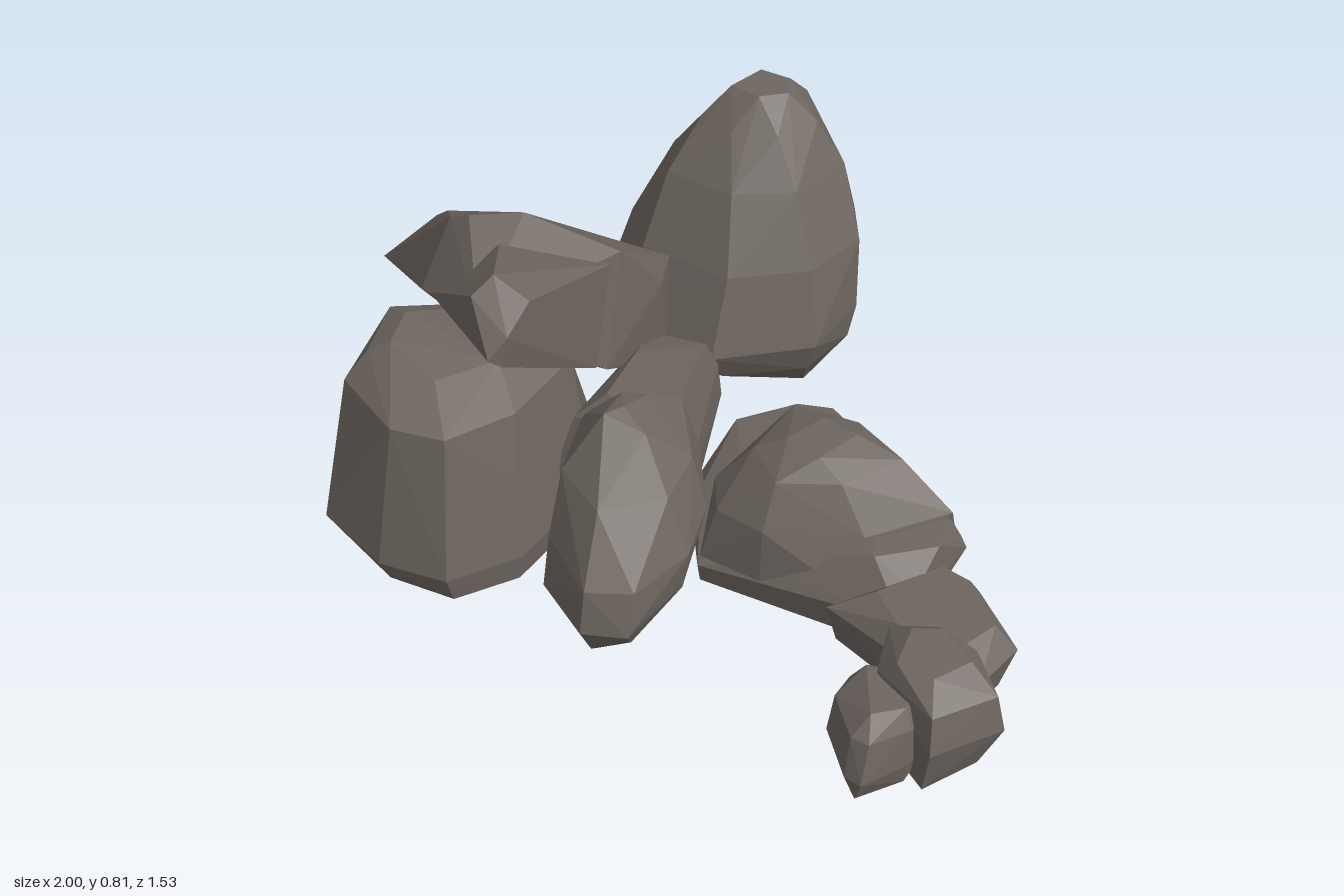
import * as THREE from 'three';
import { ConvexGeometry } from 'three/addons/geometries/ConvexGeometry.js';

const stone = new THREE.MeshStandardMaterial({ color: 0x6e6660 });
stone.name = 'warm grey stone';

// A faceted rock: the hull of corner points [x, y, z]
function rock(name, corners) {
  const mesh = new THREE.Mesh(new ConvexGeometry(corners.map(c => new THREE.Vector3(...c))), stone);
  mesh.name = name;
  return mesh;
}

// Turns height: outline pairs [y, [x, z], [x, z] ...] into corners
const layers = (...rows) => rows.flatMap(([y, ...outline]) => outline.map(([x, z]) => [x, y, z]));

export function createModel() {
  const group = new THREE.Group();
  group.name = 'rockPile';
  group.add(
    // Tall rounded boulder at the back
    rock('backBoulder', layers(
      [0.01, [-0.32, -0.6], [-0.1, -0.63], [0.03, -0.5], [0.03, -0.36], [-0.1, -0.31], [-0.3, -0.33]],
      [0.13, [-0.42, -0.69], [-0.34, -0.76], [-0.05, -0.7], [0.11, -0.43], [0.09, -0.26], [-0.06, -0.13], [-0.34, -0.14], [-0.45, -0.24]],
      [0.21, [-0.43, -0.69], [-0.34, -0.77], [-0.05, -0.7], [0.03, -0.62], [0.12, -0.45], [0.12, -0.25], [-0.06, -0.08], [-0.33, -0.09], [-0.46, -0.23]],
      [0.4, [-0.39, -0.65], [-0.32, -0.7], [-0.05, -0.67], [0.04, -0.57], [0.12, -0.45], [0.09, -0.28], [-0.06, -0.15], [-0.3, -0.16], [-0.41, -0.28]],
      [0.57, [-0.3, -0.62], [-0.1, -0.64], [0.05, -0.49], [0.02, -0.32], [-0.1, -0.23], [-0.28, -0.24], [-0.34, -0.36]],
      [0.68, [-0.22, -0.56], [-0.1, -0.57], [-0.01, -0.46], [-0.05, -0.35], [-0.15, -0.31], [-0.25, -0.34]],
      [0.75, [-0.18, -0.49], [-0.1, -0.49], [-0.07, -0.43], [-0.12, -0.38], [-0.2, -0.39]])),

    // Long slab leaning over the front block, with its ridge set back from the front edge
    rock('leaningSlab', [
      [-1, 0.13, -0.08], [-0.99, 0.2, -0.02], [-0.92, 0.05, -0.2], [-0.9, 0.18, -0.29], [-0.84, 0.03, -0.2],
      [-0.78, 0.2, -0.31], [-0.66, 0.24, -0.28], [-0.64, 0.05, -0.12], [-0.64, 0.14, 0.05],
      [-0.7, 0.49, 0.1], [-0.58, 0.6, 0.2], [-0.42, 0.74, 0.38], [-0.36, 0.77, 0.39], [-0.27, 0.77, 0.32],
      [-0.75, 0.38, 0.15], [-0.69, 0.43, 0.21], [-0.57, 0.52, 0.35], [-0.43, 0.61, 0.48], [-0.2, 0.68, 0.58],
      [-0.52, 0.32, -0.2], [-0.36, 0.37, -0.16], [-0.2, 0.43, -0.12],
      [-0.1, 0.5, 0.06], [-0.11, 0.66, 0.2], [-0.1, 0.4, 0.28], [-0.12, 0.25, 0.02], [-0.19, 0.22, -0.06],
      [-0.22, 0.44, 0.34]]),
    // Pointed upper end of the slab
    rock('slabTip', [
      [-0.15, 0.81, 0.58], [-0.08, 0.76, 0.56], [-0.07, 0.73, 0.65], [-0.09, 0.69, 0.69], [-0.17, 0.78, 0.63],
      [-0.22, 0.66, 0.59], [-0.4, 0.62, 0.49], [-0.26, 0.75, 0.42], [-0.11, 0.65, 0.24], [-0.1, 0.43, 0.32],
      [-0.2, 0.43, 0.33], [-0.12, 0.58, 0.55], [-0.08, 0.66, 0.66]]),

    // Upright block at the front
    rock('frontBlock', layers(
      [0.005, [-0.57, 0.66], [-0.38, 0.73], [-0.22, 0.71], [-0.14, 0.58], [-0.14, 0.3], [-0.3, 0.1], [-0.5, 0.16], [-0.6, 0.38]],
      [0.07, [-0.65, 0.38], [-0.58, 0.7], [-0.38, 0.76], [-0.22, 0.73], [-0.13, 0.58], [-0.13, 0.3], [-0.3, 0.08], [-0.52, 0.14]],
      [0.25, [-0.61, 0.4], [-0.56, 0.64], [-0.38, 0.72], [-0.24, 0.7], [-0.15, 0.55], [-0.16, 0.3], [-0.35, 0.12]],
      [0.41, [-0.6, 0.4], [-0.55, 0.62], [-0.36, 0.7], [-0.24, 0.67], [-0.17, 0.52], [-0.18, 0.3], [-0.35, 0.15]],
      [0.47, [-0.58, 0.42], [-0.52, 0.57], [-0.33, 0.58], [-0.26, 0.45]],
      [0.5, [-0.51, 0.45], [-0.47, 0.55]])),

    // Narrow rock in the middle, with its thin tail behind
    rock('middleRock', layers(
      [0.01, [-0.13, 0.4], [0, 0.6], [0.12, 0.68], [0.18, 0.62], [0.18, 0.42], [0.05, 0.2], [-0.1, 0.2]],
      [0.1, [-0.15, 0.36], [-0.02, 0.65], [0.13, 0.73], [0.22, 0.69], [0.23, 0.5], [0.18, 0.36], [0.06, 0.18]],
      [0.2, [-0.14, 0.36], [-0.03, 0.61], [0.13, 0.71], [0.22, 0.66], [0.25, 0.5], [0.2, 0.35], [0.07, 0.18]],
      [0.33, [-0.11, 0.36], [-0.04, 0.54], [0.1, 0.61], [0.2, 0.5], [0.17, 0.36], [0.04, 0.2]],
      [0.41, [-0.02, 0.34], [0.03, 0.32], [0.1, 0.43]],
      [0.44, [0.01, 0.45], [0.03, 0.41]])),
    rock('middleTail', layers(
      [0.01, [-0.15, 0.42], [0.12, 0.44], [0.04, 0.15], [-0.03, 0], [-0.15, 0.05]],
      [0.14, [-0.15, 0.42], [0.16, 0.42], [0.06, 0.18], [-0.02, -0.06], [-0.17, -0.01]],
      [0.25, [-0.14, 0.4], [0.1, 0.4], [0.05, 0.18], [-0.01, -0.03], [-0.18, 0.02]],
      [0.33, [-0.12, 0.38], [0.07, 0.38], [0.03, 0.17], [-0.02, 0.01], [-0.15, 0.04]],
      [0.39, [-0.06, 0.34], [0.04, 0.34], [0.01, 0.19], [-0.09, 0.18]])),

    // Low flat ledge on the left, with a steep hump on top
    rock('sideLedge', layers(
      [0.01, [0.04, -0.08], [0.18, -0.23], [0.42, -0.01], [0.65, 0.06], [0.67, 0.34], [0.4, 0.35], [0.2, 0.38], [0.06, 0.18]],
      [0.06, [0.02, -0.09], [0.1, -0.21], [0.18, -0.24], [0.42, -0.02], [0.66, 0.04], [0.05, 0.19], [0.2, 0.39]],
      [0.11, [0.04, -0.03], [0.2, -0.06], [0.42, 0], [0.66, 0.05], [0.69, 0.08], [0.68, 0.36], [0.4, 0.36], [0.1, 0.22]],
      [0.15, [0.2, 0.2], [0.68, 0.1], [0.68, 0.3]],
      [0.2, [0.5, 0.15], [0.65, 0.1], [0.68, 0.2], [0.58, 0.3]])),
    rock('sideHump', layers(
      [0.08, [0.15, 0.27], [0.17, 0], [0.42, -0.02], [0.66, 0.06], [0.55, 0.32], [0.35, 0.38], [0.2, 0.38]],
      [0.21, [0.17, 0.27], [0.21, 0.01], [0.42, 0.01], [0.66, 0.1], [0.54, 0.27], [0.35, 0.37], [0.23, 0.36]],
      [0.31, [0.25, 0.24], [0.25, 0.07], [0.4, 0.05], [0.54, 0.11], [0.47, 0.25], [0.35, 0.32]],
      [0.35, [0.32, 0.22], [0.35, 0.12], [0.44, 0.13], [0.41, 0.24]])),

    // Small rocks at the far end
    rock('linkRock', layers(
      [0.01, [0.54, 0.38], [0.69, 0.21], [0.78, 0.23], [0.89, 0.32], [0.87, 0.42], [0.74, 0.44]],
      [0.12, [0.53, 0.41], [0.69, 0.19], [0.78, 0.2], [0.92, 0.31], [0.9, 0.44], [0.74, 0.46]],
      [0.17, [0.62, 0.36], [0.7, 0.22], [0.77, 0.23], [0.87, 0.32], [0.84, 0.41], [0.7, 0.42]])),
    rock('endRock', layers(
      [0.02, [0.74, 0.48], [0.81, 0.45], [0.95, 0.54], [0.89, 0.66], [0.72, 0.56]],
      [0.14, [0.71, 0.48], [0.8, 0.42], [0.9, 0.44], [1, 0.54], [0.91, 0.68], [0.73, 0.58]],
      [0.22, [0.71, 0.48], [0.8, 0.43], [0.89, 0.45], [0.98, 0.54], [0.9, 0.66], [0.75, 0.6]],
      [0.26, [0.77, 0.5], [0.82, 0.47], [0.91, 0.52], [0.87, 0.6], [0.79, 0.6]])),
    rock('endPebble', layers(
      [0.02, [0.7, 0.6], [0.84, 0.58], [0.85, 0.66], [0.79, 0.75], [0.7, 0.66]],
      [0.08, [0.68, 0.59], [0.74, 0.53], [0.87, 0.6], [0.86, 0.67], [0.81, 0.765], [0.77, 0.76], [0.68, 0.67]],
      [0.17, [0.69, 0.6], [0.74, 0.54], [0.87, 0.6], [0.86, 0.66], [0.81, 0.74], [0.77, 0.74], [0.69, 0.66]],
      [0.21, [0.72, 0.59], [0.84, 0.59], [0.84, 0.65], [0.79, 0.7]])),
  );
  return group;
}
